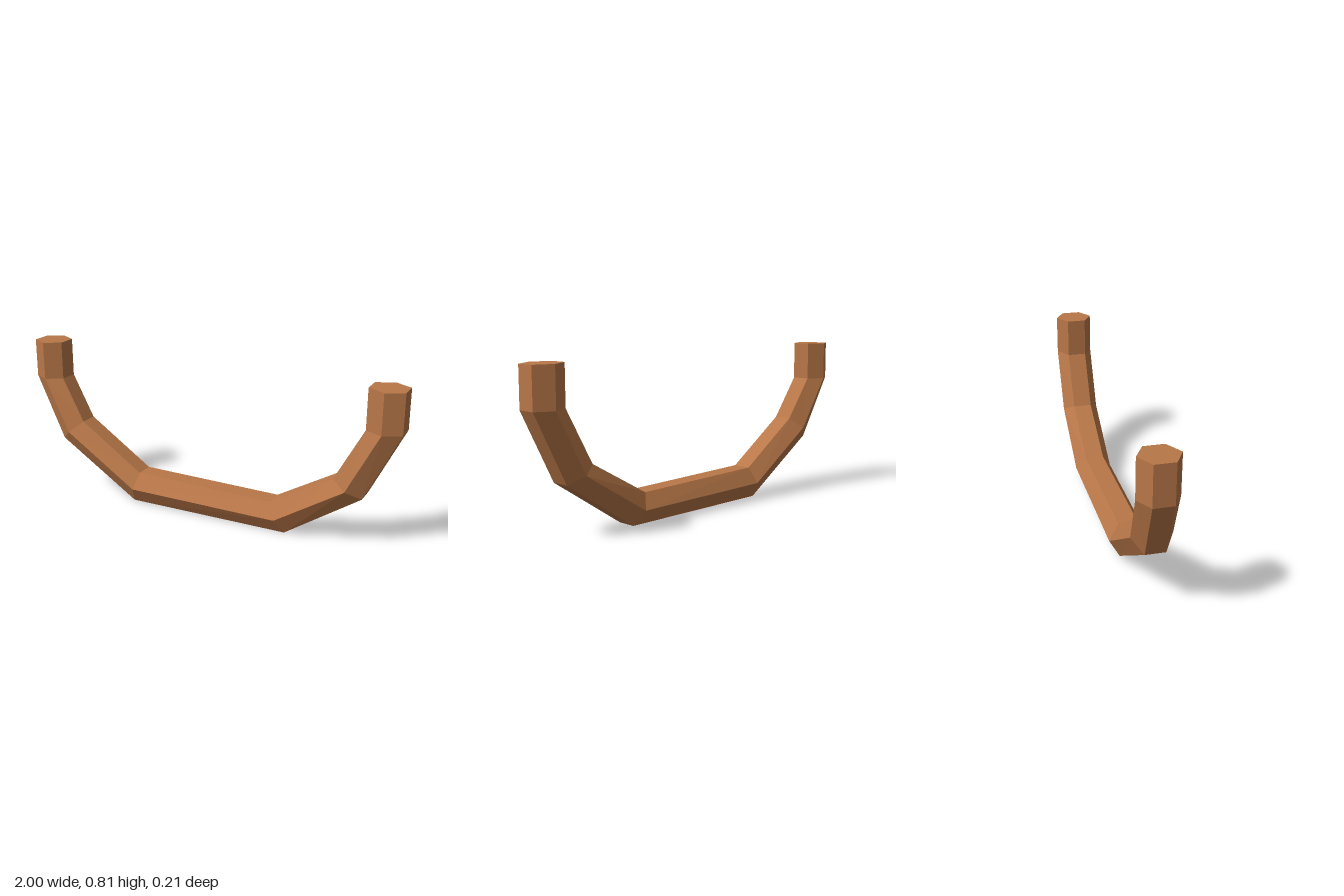
import * as THREE from 'three';

// Stations along the handle: outer x,y, inner x,y, and sideways offset z
const STATIONS = [
  [-1.0, 0.81, -0.835, 0.81, -0.01],
  [-1.0, 0.615, -0.835, 0.615, -0.01],
  [-0.832, 0.29, -0.705, 0.4, 0.011],
  [-0.4, 0.008, -0.365, 0.168, 0.011],
  [0.452, 0.0, 0.375, 0.15, 0.011],
  [0.832, 0.25, 0.688, 0.328, 0.011],
  [1.0, 0.588, 0.83, 0.59, 0.011],
  [1.0, 0.786, 0.83, 0.79, 0.011],
];

// Hexagonal section: [blend from outer to inner edge, z]
const HEX = [[0, 0.048], [0.5, 0.096], [1, 0.048], [1, -0.048], [0.5, -0.096], [0, -0.048]];

// Closed bar lofted through the hexagonal sections
function loftBar() {
  const n = HEX.length;
  const positions = [];
  for (const [ox, oy, ix, iy, zc] of STATIONS) {
    for (const [t, z] of HEX) positions.push(ox + (ix - ox) * t, oy + (iy - oy) * t, zc + z);
  }
  const index = [];
  const last = (STATIONS.length - 1) * n;
  for (let s = 0; s < last; s += n) {
    for (let j = 0; j < n; j++) {
      const k = (j + 1) % n;
      const a = s + j, b = s + k, c = s + n + k, d = s + n + j;
      index.push(a, d, c, a, c, b);
    }
  }
  // End caps
  for (let k = 1; k < n - 1; k++) {
    index.push(0, k, k + 1, last, last + k + 1, last + k);
  }
  const indexed = new THREE.BufferGeometry();
  indexed.setAttribute('position', new THREE.Float32BufferAttribute(positions, 3));
  indexed.setIndex(index);
  const geometry = indexed.toNonIndexed();
  geometry.computeVertexNormals();
  return geometry;
}

export function createModel() {
  const group = new THREE.Group();
  group.name = 'curvedHandle';
  const wood = new THREE.MeshStandardMaterial({ color: 0xb87748, flatShading: true });
  wood.name = 'warm brown';
  const bar = new THREE.Mesh(loftBar(), wood);
  bar.name = 'handleBar';
  group.add(bar);
  return group;
}
